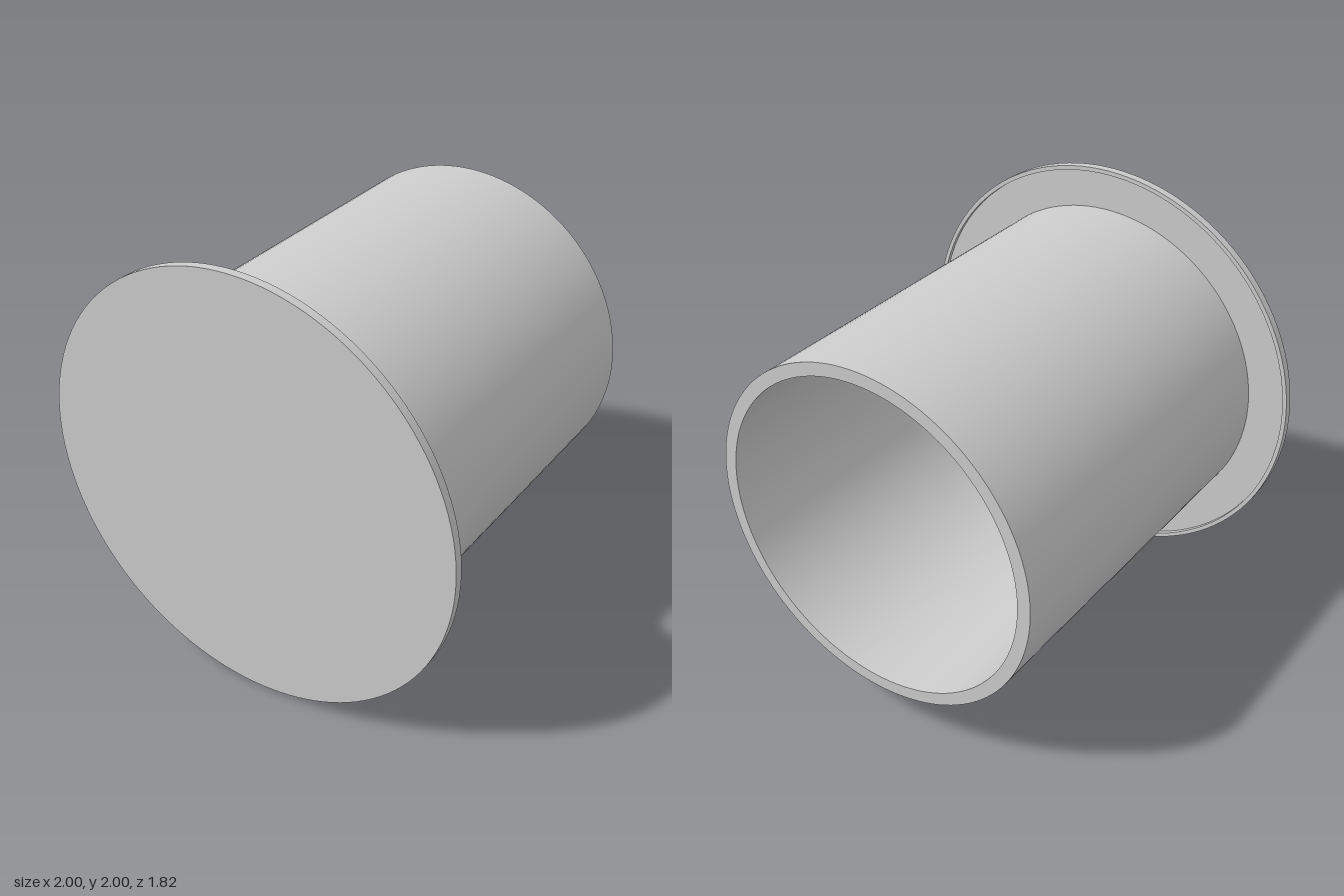
import * as THREE from 'three';
import { mergeGeometries } from 'three/addons/utils/BufferGeometryUtils.js';

const SEGMENTS = 128;

// Turns a counter-clockwise [radius, z] profile around the z axis,
// one band per edge so that corners stay sharp and the round faces smooth.
function turned(profile) {
  const bands = [];
  for (let i = 0; i < profile.length - 1; i++) {
    const edge = [profile[i], profile[i + 1]].map(([r, z]) => new THREE.Vector2(r, z));
    bands.push(new THREE.LatheGeometry(edge, SEGMENTS));
  }
  return mergeGeometries(bands).rotateX(Math.PI / 2);
}

export function createModel() {
  const group = new THREE.Group();
  group.name = 'flangedCup';
  const material = new THREE.MeshStandardMaterial({ color: 0xcccccc, side: THREE.DoubleSide });

  const add = (name, profile) => {
    const mesh = new THREE.Mesh(turned(profile), material);
    mesh.name = name;
    mesh.position.y = 1;
    group.add(mesh);
  };

  const front = 0.91, rimBack = 0.87, floor = 0.89, back = -0.91;

  // Closed front disc with a thin raised rim on its back
  add('flange', [
    [0, floor], [0.98, floor], [0.98, rimBack], [1, rimBack], [1, front], [0, front],
  ]);

  // Hollow tube, open at the back
  add('tube', [
    [0.74, floor], [0.74, back], [0.8, back], [0.8, floor],
  ]);

  return group;
}
